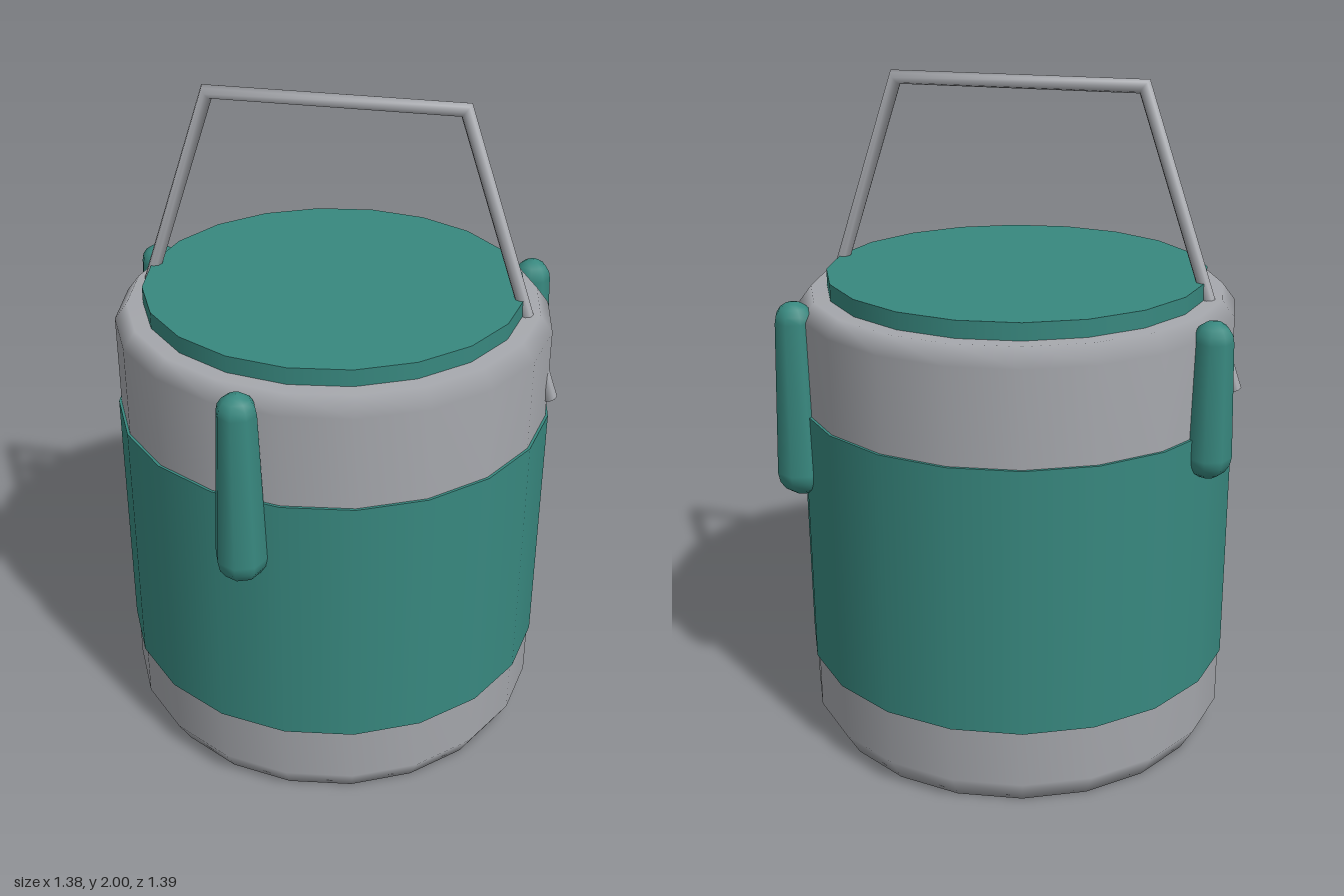
import * as THREE from 'three';

const SIDES = 20;
const CENTRE_Z = -0.035;

const grey = new THREE.MeshStandardMaterial({ color: 0xa5a7ac });
grey.name = 'grey metal';
const teal = new THREE.MeshStandardMaterial({ color: 0x38887f });
teal.name = 'teal paint';

function addMesh(parent, name, geometry, material, x, y, z) {
  const mesh = new THREE.Mesh(geometry, material);
  mesh.name = name;
  mesh.position.set(x, y, z);
  parent.add(mesh);
  return mesh;
}

// Tapered rod with a half-round at each end, standing from y = 0 to height
function clipGeometry(height, bottomRadius, topRadius) {
  const points = [];
  const steps = 4;
  for (let i = 0; i <= steps; i++) {
    const a = (i / steps) * Math.PI / 2;
    points.push(new THREE.Vector2(bottomRadius * Math.sin(a), bottomRadius * (1 - Math.cos(a))));
  }
  for (let i = 0; i <= steps; i++) {
    const a = (i / steps) * Math.PI / 2;
    points.push(new THREE.Vector2(topRadius * Math.cos(a), height - topRadius * (1 - Math.sin(a))));
  }
  return new THREE.LatheGeometry(points, 8);
}

// Bent bar with an oval section; each station is [x, y, outward x, outward y]
function handleGeometry(stations, depth, sides) {
  const positions = [];
  const index = [];
  const ring = ([x, y, nx, ny]) => {
    const start = positions.length / 3;
    for (let j = 0; j < sides; j++) {
      const a = (j / sides) * Math.PI * 2;
      positions.push(x + nx * Math.cos(a), y + ny * Math.cos(a), depth * Math.sin(a));
    }
    return start;
  };
  const rings = stations.map(ring);
  for (let i = 0; i < rings.length - 1; i++) {
    for (let j = 0; j < sides; j++) {
      const k = (j + 1) % sides;
      const a = rings[i] + j, b = rings[i] + k, c = rings[i + 1] + j, d = rings[i + 1] + k;
      index.push(a, b, c, b, d, c);
    }
  }
  // Flat ends
  const first = ring(stations[0]);
  const last = ring(stations[stations.length - 1]);
  for (let j = 1; j < sides - 1; j++) {
    index.push(first, first + j + 1, first + j);
    index.push(last, last + j, last + j + 1);
  }
  const geometry = new THREE.BufferGeometry();
  geometry.setAttribute('position', new THREE.Float32BufferAttribute(positions, 3));
  geometry.setIndex(index);
  geometry.computeVertexNormals();
  return geometry;
}

export function createModel() {
  const model = new THREE.Group();
  model.name = 'container';

  // Body with softened top and bottom rims
  const profile = [[0, 0], [0.61, 0], [0.653, 0.075], [0.653, 1.335], [0.615, 1.385], [0, 1.385]];
  const bodyGeometry = new THREE.LatheGeometry(profile.map(([r, y]) => new THREE.Vector2(r, y)), SIDES);
  addMesh(model, 'body', bodyGeometry, grey, 0, 0, CENTRE_Z);

  // Painted band and lid
  addMesh(model, 'band', new THREE.CylinderGeometry(0.661, 0.661, 0.805, SIDES), teal, 0, 0.6525, CENTRE_Z);
  addMesh(model, 'lid', new THREE.CylinderGeometry(0.567, 0.567, 0.075, SIDES), teal, 0, 1.3975, CENTRE_Z);

  // Carrying handle, whose legs run through the shell and poke out at the sides
  const half = [[0.371, 1.98, 0.0143, 0.02], [0.664, 1.118, 0.019, 0.0065]];
  const mirrored = half.map(([x, y, nx, ny]) => [-x, y, -nx, ny]).reverse();
  addMesh(model, 'handle', handleGeometry([...mirrored, ...half], 0.026, 8), grey, 0, 0, CENTRE_Z);

  // Side clips: [x, z, bottom, bottom radius]
  const clips = [
    [-0.115, 0.62, 0.8, 0.075],
    [0.553, -0.418, 0.8, 0.075],
    [-0.63, -0.265, 0.93, 0.067],
  ];
  clips.forEach(([x, z, bottom, radius], i) => {
    addMesh(model, `clip${i + 1}`, clipGeometry(1.39 - bottom, radius, 0.057), teal, x, bottom, z);
  });

  return model;
}
